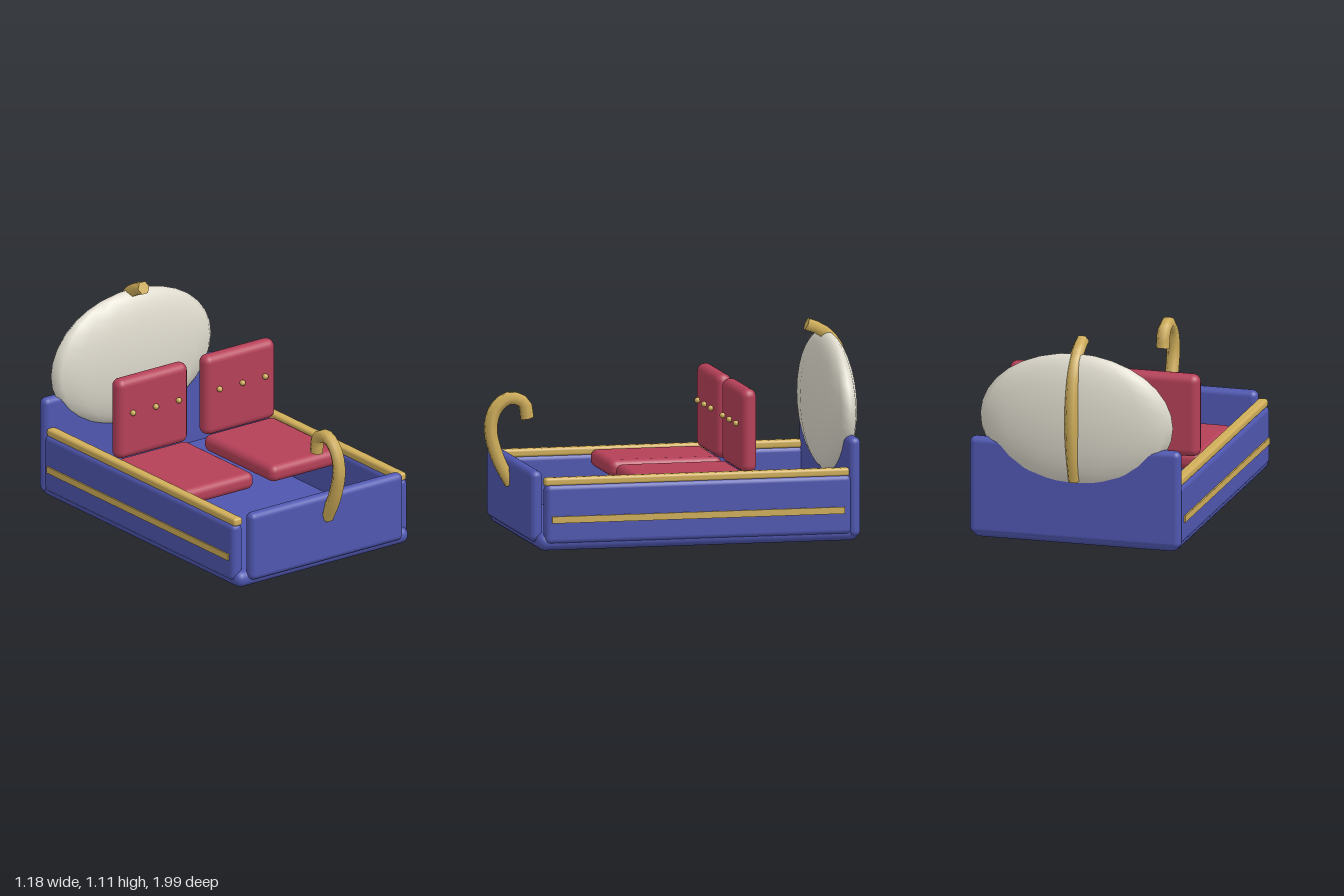
import * as THREE from 'three';
import { RoundedBoxGeometry } from 'three/addons/geometries/RoundedBoxGeometry.js';

const material = (name, color) => {
  const m = new THREE.MeshStandardMaterial({ color });
  m.name = name;
  return m;
};

export function createModel() {
  const model = new THREE.Group();
  model.name = 'sleigh';
  const blue = material('blue paint', 0x4f57b0);
  const red = material('red upholstery', 0xb54058);
  const gold = material('gold trim', 0xd0ae5a);
  const cream = material('cream shell', 0xdedacd);

  const add = (name, geometry, mat, parent = model) => {
    const mesh = new THREE.Mesh(geometry, mat);
    mesh.name = name;
    parent.add(mesh);
    return mesh;
  };

  // Rounded box given by its min and max corners
  const block = (name, min, max, radius, mat, parent) => {
    const s = max.map((v, i) => v - min[i]);
    const mesh = add(name, new RoundedBoxGeometry(s[0], s[1], s[2], 3, radius), mat, parent);
    mesh.position.set(...max.map((v, i) => (v + min[i]) / 2));
    return mesh;
  };

  // Hexagonal bar swept along [z, y] points in the middle plane, closed at both ends
  const bar = (name, points, segments) => {
    const group = new THREE.Group();
    group.name = name;
    model.add(group);
    const curve = new THREE.CatmullRomCurve3(points.map(([z, y]) => new THREE.Vector3(0, y, z)));
    add(name + 'Sweep', new THREE.TubeGeometry(curve, segments, 0.037, 6), gold, group);
    for (const end of [0, 1]) {
      const cap = add(name + 'Cap', new THREE.CircleGeometry(0.037, 6), gold, group);
      const dir = curve.getTangentAt(end).multiplyScalar(end ? 1 : -1);
      cap.position.copy(curve.getPointAt(end));
      cap.lookAt(cap.position.clone().add(dir));
    }
  };

  // Body panels
  block('floor', [-0.57, 0, -0.905], [0.57, 0.09, 0.84], 0.043, blue);
  block('frontPanel', [-0.505, 0.04, 0.8], [0.505, 0.42, 0.87], 0.033, blue);
  block('backPanel', [-0.58, 0.02, -0.91], [0.58, 0.553, -0.842], 0.033, blue);

  for (const [side, s] of [['left', 1], ['right', -1]]) {
    const span = (a, b) => (s > 0 ? [a, b] : [-b, -a]);

    // Side wall with its rail and trim strip
    let [a, b] = span(0.51, 0.58);
    block(side + 'Wall', [a, 0.035, -0.86], [b, 0.355, 0.805], 0.03, blue);
    [a, b] = span(0.514, 0.57);
    block(side + 'Rail', [a, 0.345, -0.85], [b, 0.39, 0.805], 0.015, gold);
    const trim = add(side + 'Trim', new THREE.BoxGeometry(0.016, 0.036, 1.59), gold);
    trim.position.set(s * 0.58, 0.168, -0.025);

    // Seat: cushion, backrest and three buttons
    const seat = new THREE.Group();
    seat.name = side + 'Seat';
    model.add(seat);
    [a, b] = span(0.054, 0.522);
    block('cushion', [a, 0.285, -0.31], [b, 0.38, 0.305], 0.04, red, seat);
    block('backrest', [a, 0.37, -0.36], [b, 0.82, -0.272], 0.042, red, seat);
    for (const x of [0.135, 0.286, 0.437]) {
      const button = add('button', new THREE.SphereGeometry(0.016, 10, 8), gold, seat);
      button.position.set(s * x, 0.63, -0.262);
    }
  }

  // Large flattened shell at the back
  const shell = add('shell', new THREE.SphereGeometry(1, 16, 16), cream);
  shell.scale.set(0.53, 0.37, 0.106);
  shell.position.set(0, 0.67, -0.861);

  // Curled prow at the front and spine over the shell
  bar('prow', [[0.855, 0.285], [0.925, 0.42], [0.965, 0.58], [0.935, 0.69], [0.86, 0.742],
    [0.785, 0.715], [0.766, 0.63]], 20);
  bar('spine', [[-0.905, 0.36], [-0.945, 0.5], [-0.966, 0.67], [-0.945, 0.86], [-0.9, 0.98],
    [-0.83, 1.05], [-0.75, 1.083]], 16);

  return model;
}
